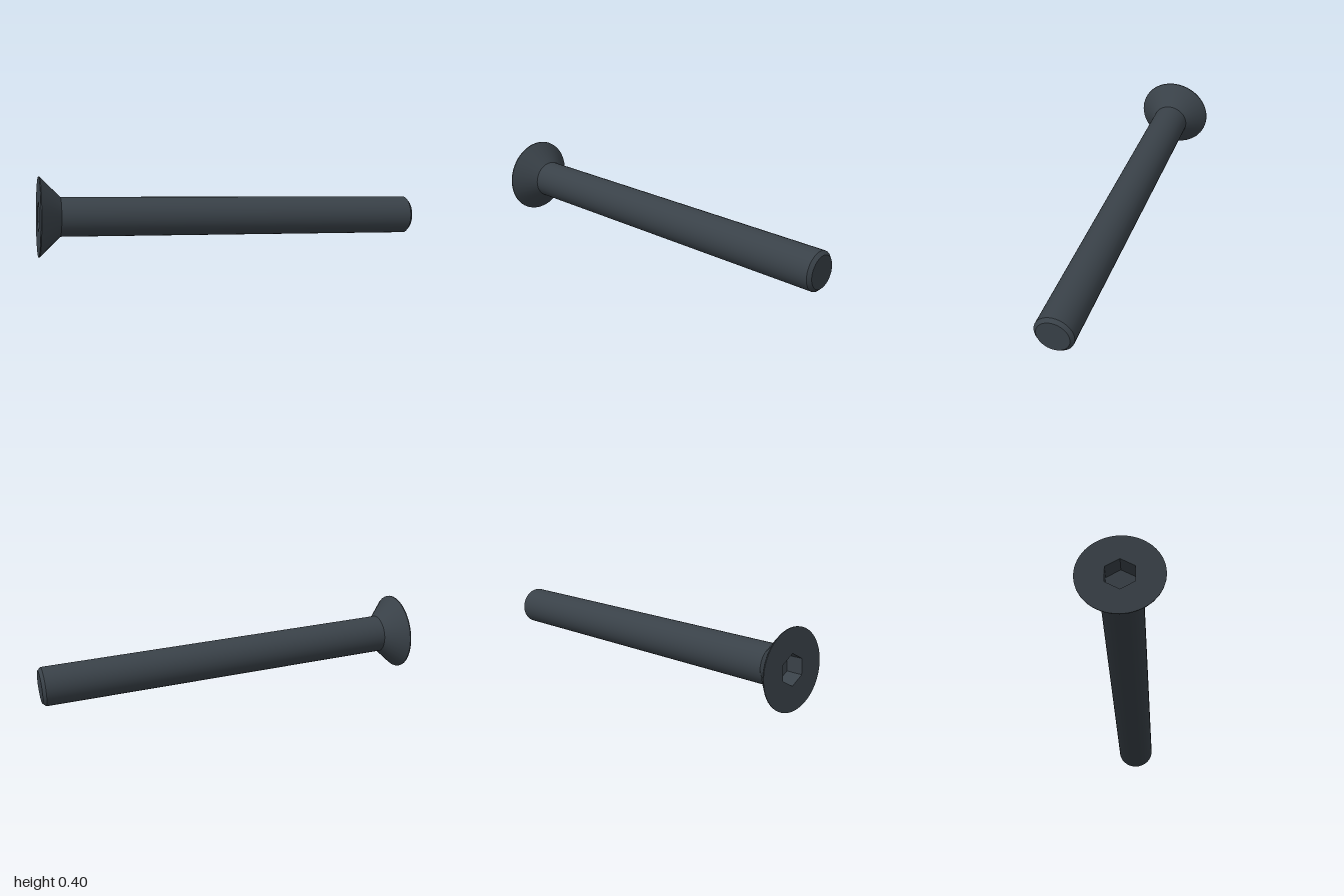
import * as THREE from 'three';

export function createModel() {
  const model = new THREE.Group();
  model.name = 'countersunkScrew';

  const steel = new THREE.MeshStandardMaterial({ color: 0x394148, side: THREE.DoubleSide });
  steel.name = 'dark steel';

  // Screw axis, from the centre of the head face to the centre of the tip
  const start = new THREE.Vector3(-0.957, 0.199, -0.155);
  const end = new THREE.Vector3(0.98, 0.1, 0.255);
  const length = start.distanceTo(end);

  const SEG = 32;
  const headR = 0.199, shaftR = 0.0985, tipR = 0.082;
  const rimH = 0.005, neckY = 0.106, chamferH = 0.0165;
  const socketR = 0.077, socketDepth = 0.085;

  const add = (name, geometry, y = 0) => {
    const mesh = new THREE.Mesh(geometry, steel);
    mesh.name = name;
    mesh.position.y = y;
    model.add(mesh);
  };

  // Open tapered ring between two heights along the axis
  const ring = (name, y0, r0, y1, r1) =>
    add(name, new THREE.CylinderGeometry(r1, r0, y1 - y0, SEG, 1, true), (y0 + y1) / 2);

  ring('headRim', 0, headR, rimH, headR);
  ring('headCone', rimH, headR, neckY, shaftR);
  ring('shaft', neckY, shaftR, length - chamferH, shaftR);
  ring('tipChamfer', length - chamferH, shaftR, length, tipR);
  add('tipFace', new THREE.CircleGeometry(tipR, SEG).rotateX(-Math.PI / 2), length);

  // Flat head face with a hexagonal opening
  const face = new THREE.Shape().absarc(0, 0, headR, 0, Math.PI * 2);
  const corners = [];
  for (let i = 0; i < 6; i++) {
    const a = Math.PI / 2 + i * Math.PI / 3;
    corners.push(new THREE.Vector2(Math.cos(a) * socketR, Math.sin(a) * socketR));
  }
  face.holes.push(new THREE.Path(corners));
  add('headFace', new THREE.ShapeGeometry(face, SEG).rotateX(Math.PI / 2));

  // Hex key socket: flat walls and floor
  const walls = new THREE.CylinderGeometry(socketR, socketR, socketDepth, 6, 1, true).toNonIndexed();
  walls.computeVertexNormals();
  add('socketWalls', walls, socketDepth / 2);
  add('socketFloor', new THREE.CircleGeometry(socketR, 6, Math.PI / 2).rotateX(Math.PI / 2), socketDepth);

  // Lay the screw along its axis, with one socket corner pointing up
  const axis = end.clone().sub(start).normalize();
  const side = new THREE.Vector3().crossVectors(axis, new THREE.Vector3(0, 1, 0)).normalize();
  const up = new THREE.Vector3().crossVectors(side, axis);
  model.quaternion.setFromRotationMatrix(new THREE.Matrix4().makeBasis(side, axis, up));
  model.position.copy(start);

  const root = new THREE.Group();
  root.name = 'screw';
  root.add(model);
  return root;
}
